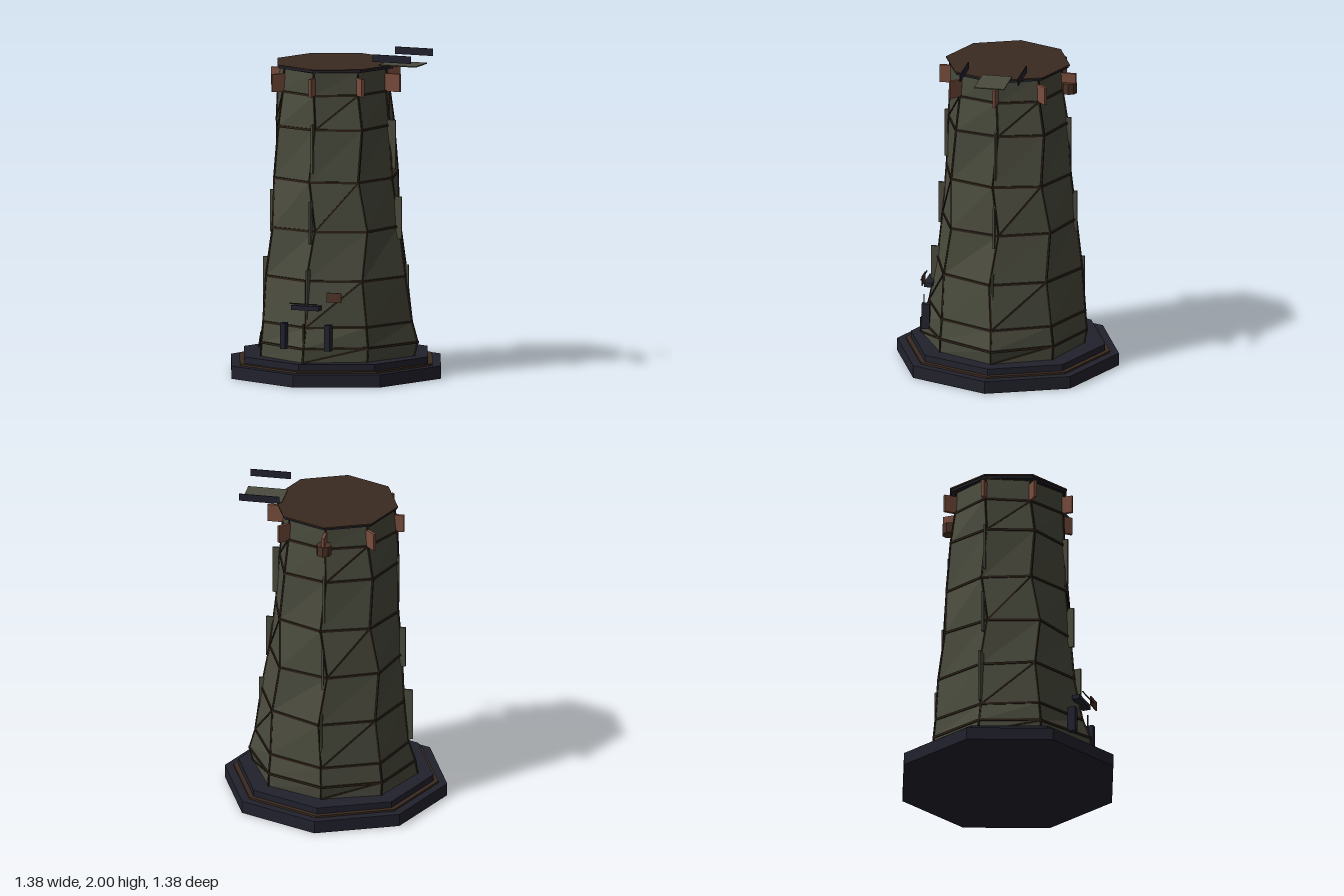
import * as THREE from 'three';

const mat = (name, color, double = false) => {
  const m = new THREE.MeshStandardMaterial({ color });
  m.name = name;
  if (double) m.side = THREE.DoubleSide;
  return m;
};

// Wall rings: height, twist, radius towards +z, +x, -z, -x and the diagonals
const RINGS = [
  [0.13, 0.0, 0.54, 0.515, 0.475, 0.505, 0.495],
  [0.215, 0.01, 0.54, 0.535, 0.49, 0.49, 0.495],
  [0.34, 0.0, 0.49, 0.5, 0.48, 0.45, 0.48],
  [0.62, -0.04, 0.44, 0.465, 0.465, 0.425, 0.455],
  [0.92, 0.06, 0.4, 0.405, 0.42, 0.405, 0.43],
  [1.22, -0.05, 0.385, 0.375, 0.395, 0.39, 0.4],
  [1.54, 0.03, 0.365, 0.345, 0.37, 0.385, 0.385],
  [1.75, 0.0, 0.36, 0.33, 0.34, 0.38, 0.35],
  [1.895, 0.0, 0.36, 0.33, 0.335, 0.365, 0.34],
];

// Corner i of a ring, counted from the front towards +x
function corner(ring, i) {
  const [y, twist] = ring;
  const k = i % 8;
  const r = k % 2 ? ring[6] : ring[2 + k / 2];
  const a = k * Math.PI / 4 + twist;
  return new THREE.Vector3(Math.sin(a) * r, y, Math.cos(a) * r);
}

export function createModel() {
  const model = new THREE.Group();
  const stone = mat('stone', 0x4b4c3e);
  const slate = mat('dark slate', 0x22222e);
  const brown = mat('roof brown', 0x3a2a21);
  const seamMat = mat('seam brown', 0x2c2118);
  const copper = mat('copper', 0x7a4e3e);
  const rust = mat('rust', 0x4c3226);

  const add = (name, geo, material, x = 0, y = 0, z = 0, parent = model) => {
    const mesh = new THREE.Mesh(geo, material);
    mesh.name = name;
    mesh.position.set(x, y, z);
    parent.add(mesh);
    return mesh;
  };
  const box = (name, material, w, h, d, x, y, z, parent) =>
    add(name, new THREE.BoxGeometry(w, h, d), material, x, y, z, parent);
  const octagon = (name, material, r, y0, y1) =>
    add(name, new THREE.CylinderGeometry(r, r, y1 - y0, 8).toNonIndexed(), material, 0, (y0 + y1) / 2, 0)
      .geometry.computeVertexNormals();

  // Stepped base
  octagon('baseSlab', slate, 0.69, 0, 0.078);
  octagon('baseTrim', brown, 0.635, 0.078, 0.09);
  octagon('baseStep', slate, 0.605, 0.085, 0.13);

  // Faceted wall
  const points = [];
  for (let b = 0; b < RINGS.length - 1; b++) {
    for (let i = 0; i < 8; i++) {
      const p = corner(RINGS[b], i), q = corner(RINGS[b], i + 1);
      const s = corner(RINGS[b + 1], i), t = corner(RINGS[b + 1], i + 1);
      points.push(p, q, t, p, t, s);
    }
  }
  const wall = new THREE.BufferGeometry().setFromPoints(points);
  wall.computeVertexNormals();
  add('wall', wall, stone);

  // Seams along the wall edges
  const seams = new THREE.Group();
  seams.name = 'seams';
  model.add(seams);
  const seam = (a, b, t) => {
    const m = box('seam', seamMat, t, t, a.distanceTo(b), 0, 0, 0, seams);
    m.position.copy(a).add(b).multiplyScalar(0.5);
    m.lookAt(b);
  };
  RINGS.forEach((ring, b) => {
    for (let i = 0; i < 8; i++) {
      const p = corner(ring, i);
      if (b > 0) seam(p, corner(ring, i + 1), 0.014);
      if (b === RINGS.length - 1) continue;
      seam(p, corner(RINGS[b + 1], i), 0.01);
      if (i % 2 === 0 && b % 2 === 0) seam(p, corner(RINGS[b + 1], i + 1), 0.01);
    }
  });

  // Roof cap
  octagon('capRim', slate, 0.375, 1.893, 1.906);
  octagon('roof', brown, 0.385, 1.906, 1.915);

  // Radial copper brackets and thin wall fins
  for (let i = 0; i < 8; i++) {
    const side = new THREE.Group();
    side.name = 'wallSide';
    side.rotation.y = i * Math.PI / 4;
    model.add(side);
    box('bracket', copper, 0.018, 0.11, 0.1, 0, 1.805, 0.373, side);
    if (i % 2) continue;
    for (const [y0, y1, r] of [[0.36, 0.69, 0.478], [0.845, 1.105, 0.432], [1.275, 1.575, 0.393]])
      box('fin', stone, 0.012, y1 - y0, 0.08, 0, (y0 + y1) / 2, r - 0.04, side);
  }

  // Small barrel below the back bracket
  const barrel = new THREE.CylinderGeometry(0.046, 0.046, 0.065, 8).toNonIndexed();
  barrel.computeVertexNormals();
  add('barrel', barrel, rust, 0, 1.768, -0.383);

  // Landing plate with side rails
  box('landingPlate', stone, 0.245, 0.006, 0.185, 0.44, 1.922, 0);
  for (const s of [-1, 1]) box('landingRail', slate, 0.25, 0.045, 0.006, 0.44, 1.977, s * 0.18);

  // Entrance posts, lintel and plaque
  for (const s of [-1, 1]) box('doorPost', slate, 0.034, 0.16, 0.05, s * 0.146, 0.285, 0.48);
  box('lintel', slate, 0.18, 0.028, 0.05, 0, 0.463, 0.48);
  box('lintelStrip', brown, 0.18, 0.006, 0.006, 0, 0.492, 0.523);
  box('doorStrip', seamMat, 0.01, 0.12, 0.006, 0, 0.31, 0.523);
  box('plaque', rust, 0.095, 0.06, 0.006, 0.185, 0.535, 0.487);

  return model;
}
